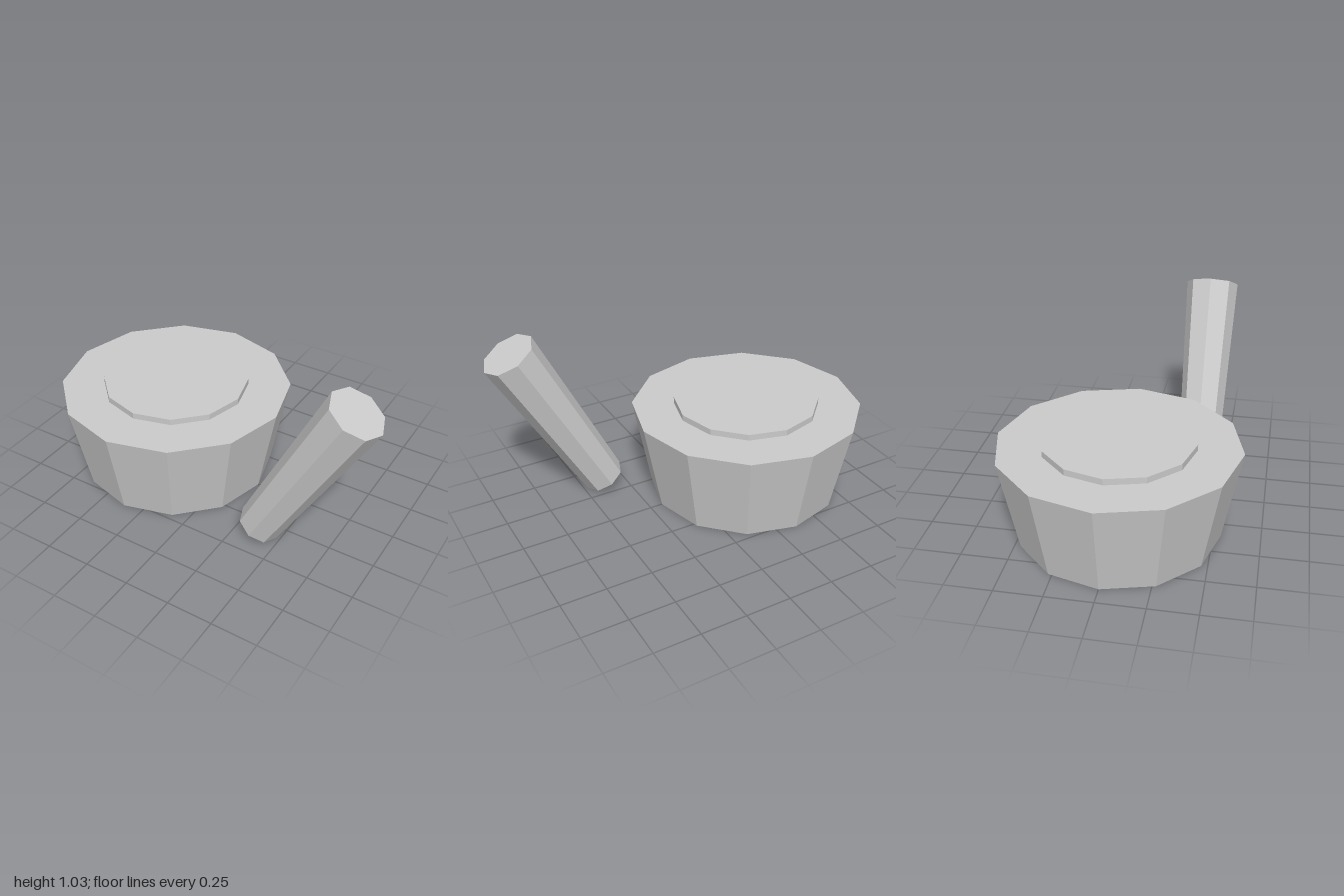
import * as THREE from 'three';

const material = new THREE.MeshStandardMaterial({ color: 0xcccccc, flatShading: true });

// Faceted tapered cylinder standing on its own base
function taperedPart(name, topRadius, bottomRadius, height, sides) {
  const mesh = new THREE.Mesh(
    new THREE.CylinderGeometry(topRadius, bottomRadius, height, sides),
    material
  );
  mesh.name = name;
  return mesh;
}

export function createModel() {
  const model = new THREE.Group();
  model.name = 'mortarAndPestle';

  // Mortar: flared twelve-sided bowl with a raised disc of contents
  const mortar = new THREE.Group();
  mortar.name = 'mortar';
  mortar.position.x = -0.36;
  const bowl = taperedPart('bowl', 0.64, 0.54, 0.506, 12);
  bowl.position.y = 0.253;
  const contents = taperedPart('bowlContents', 0.404, 0.404, 0.08, 12);
  contents.position.y = 0.5;
  mortar.add(bowl, contents);

  // Pestle: eight-sided tapered rod leaning away from the bowl
  const pestle = taperedPart('pestle', 0.15, 0.118, 1.01, 8);
  pestle.position.set(0.626, 0.514, 0.338);
  pestle.rotation.z = -0.5;

  model.add(mortar, pestle);
  return model;
}
